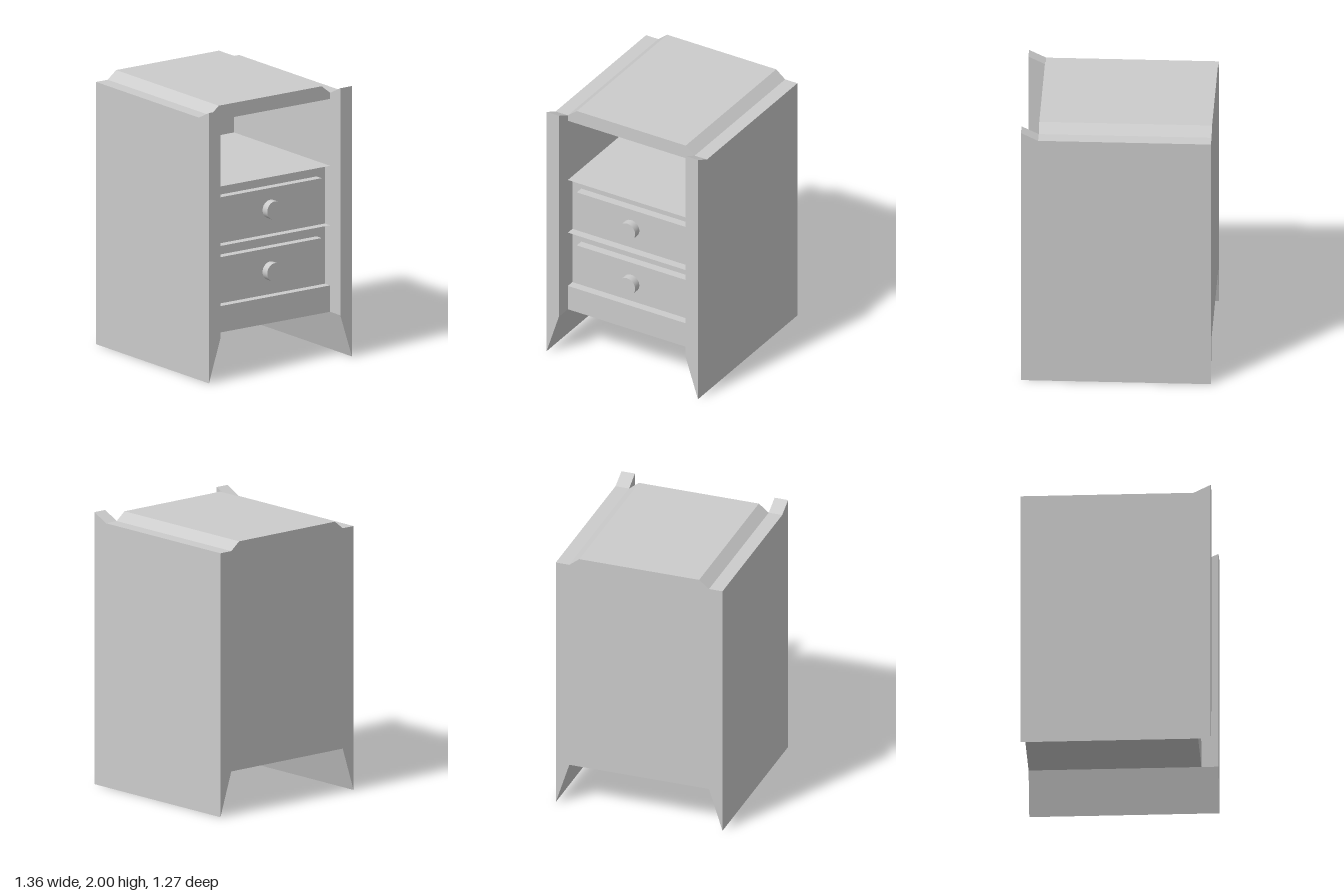
import * as THREE from 'three';

const FRONT = 0.557;   // front plane of the carcass, facing +x
const BACK = -0.68;
const RECESS = 0.495;  // wall the drawer fronts stand on
const INNER = 0.532;   // inside face of the side panels
const OUTER = 0.635;
const LEG_TOP = 0.32;

const material = new THREE.MeshStandardMaterial({ color: 0xcccccc, flatShading: true });
const thin = new THREE.MeshStandardMaterial({ color: 0xcccccc, side: THREE.DoubleSide });
const smooth = new THREE.MeshStandardMaterial({ color: 0xcccccc });

const extrude = (points, depth) => new THREE.ExtrudeGeometry(
  new THREE.Shape(points.map(([x, y]) => new THREE.Vector2(x, y))),
  { depth, bevelEnabled: false });

// Outline in (x, y), extruded from z0 to z1
const alongZ = (points, z0, z1) => extrude(points, z1 - z0).translate(0, 0, z0);

// Outline in (z, y), extruded from x0 to x1
const alongX = (points, x0, x1) =>
  extrude(points.map(([z, y]) => [-z, y]), x1 - x0).rotateY(Math.PI / 2).translate(x0, 0, 0);

export function createModel() {
  const model = new THREE.Group();
  const add = (name, geometry, mat = material, parent = model) => {
    const mesh = new THREE.Mesh(geometry, mat);
    mesh.name = name;
    parent.add(mesh);
    return mesh;
  };

  // Side panels with a raised front tip and a foot tapering to the outer edge
  for (const s of [1, -1]) {
    const side = new THREE.Group();
    side.name = s > 0 ? 'frontSidePanel' : 'backSidePanel';
    model.add(side);
    const outline = [[BACK, LEG_TOP], [0.68, LEG_TOP], [0.68, 2], [FRONT, 1.94], [BACK, 1.94]];
    add('panel', alongZ(outline, s > 0 ? INNER : -OUTER, s > 0 ? OUTER : -INNER), material, side);
    add('foot', alongX([[s * INNER, LEG_TOP], [s * OUTER, LEG_TOP], [s * OUTER, 0]], BACK, 0.68), material, side);
  }

  // Carcass: plinth, drawer block and back wall behind the open compartment
  add('carcass', alongZ([
    [BACK, LEG_TOP], [FRONT, LEG_TOP], [FRONT, 0.515], [RECESS, 0.515],
    [RECESS, 1.4], [-0.6, 1.4], [-0.6, 1.9], [BACK, 1.9],
  ], -INNER, INNER));

  // Top with chamfered long edges
  add('top', alongX([
    [-INNER, 1.895], [INNER, 1.895], [INNER, 1.94],
    [0.457, 2], [-0.457, 2], [-INNER, 1.94],
  ], BACK, FRONT));

  // Thin shelf lips above each drawer
  for (const y of [1.4, 0.96]) {
    const lip = new THREE.PlaneGeometry(FRONT - RECESS, INNER * 2).rotateX(-Math.PI / 2);
    add('shelfLip', lip.translate((FRONT + RECESS) / 2, y, 0), thin);
  }

  // Drawers with round knobs
  [[1.175, 1.165], [0.732, 0.708]].forEach(([y, knobY], i) => {
    const drawer = new THREE.Group();
    drawer.name = i ? 'lowerDrawer' : 'upperDrawer';
    model.add(drawer);
    const depth = FRONT - RECESS;
    add('drawerFront', new THREE.BoxGeometry(depth, 0.29, 0.914)
      .translate(RECESS + depth / 2, y, 0), material, drawer);
    add('knob', new THREE.CylinderGeometry(0.068, 0.068, 0.057, 32)
      .rotateZ(-Math.PI / 2).translate(FRONT + 0.0285, knobY, 0), smooth, drawer);
  });

  return model;
}
